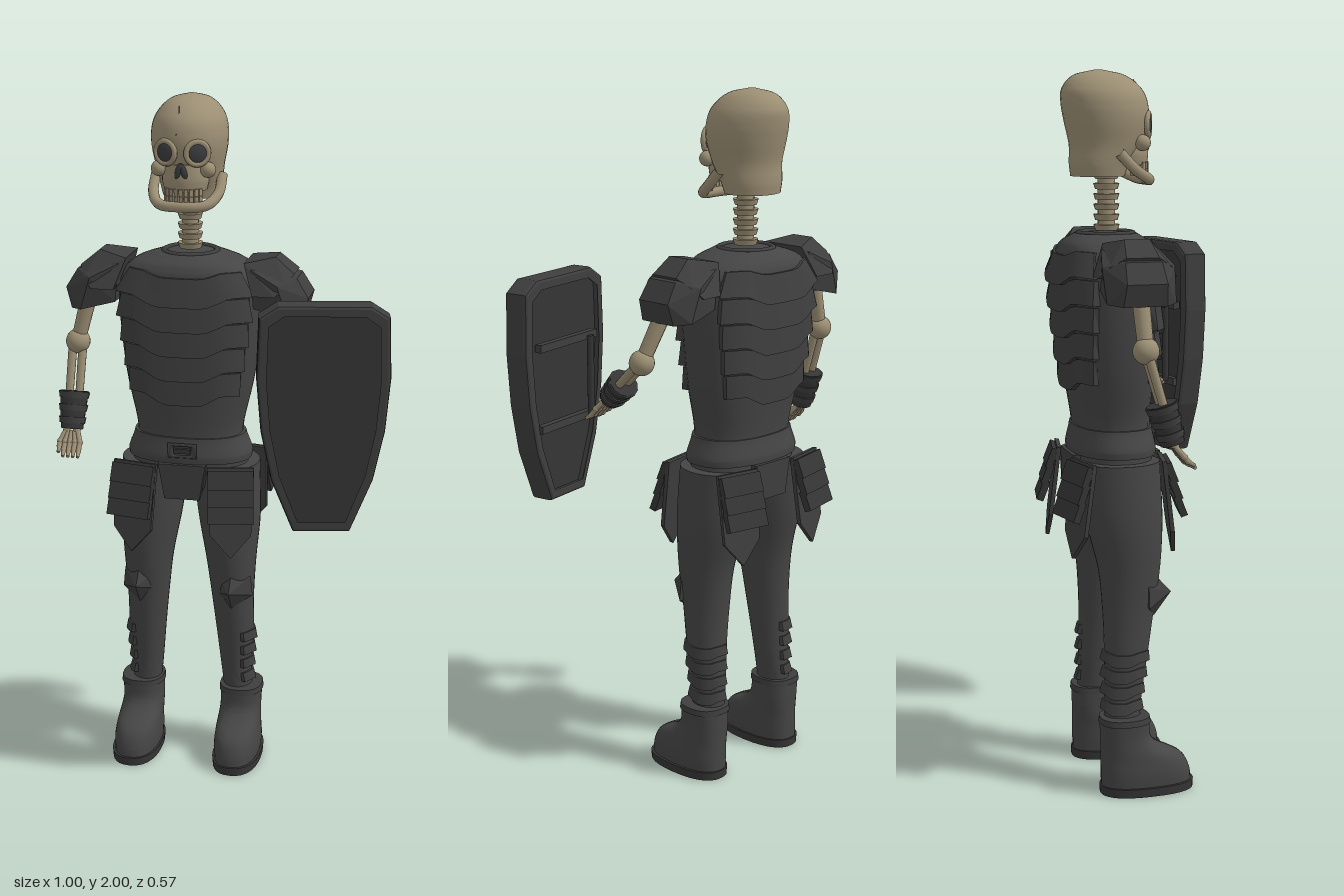
import * as THREE from 'three';
import { toCreasedNormals } from 'three/addons/utils/BufferGeometryUtils.js';
import { ConvexGeometry } from 'three/addons/geometries/ConvexGeometry.js';

const mat = (name, color, side = THREE.FrontSide) => {
  const m = new THREE.MeshStandardMaterial({ color, side });
  m.name = name;
  return m;
};
const CX = -0.118; // middle of the body
const V = (x, y, z) => new THREE.Vector3(x, y, z);

export function createModel() {
  const bone = mat('bone', 0x9c8f74);
  const hollow = mat('hollow', 0x3c3d40);
  const cloth = mat('cloth', 0x454545);
  const plate = mat('plate', 0x3e3e3f, THREE.DoubleSide);
  const dark = mat('darkPlate', 0x353536);
  const model = new THREE.Group();

  const add = (parent, name, geo, material, x = 0, y = 0, z = 0) => {
    const m = new THREE.Mesh(geo, material);
    m.name = name;
    m.position.set(x, y, z);
    parent.add(m);
    return m;
  };
  const group = (name, parent = model) => {
    const g = new THREE.Group();
    g.name = name;
    parent.add(g);
    return g;
  };
  const build = (pos, idx, crease) => {
    const g = new THREE.BufferGeometry();
    g.setAttribute('position', new THREE.Float32BufferAttribute(pos, 3));
    g.setIndex(idx);
    return toCreasedNormals(g, crease);
  };
  // point on a rounded section [y, cx, cz, rx, rz], angle 0 faces the front
  const around = ([y, cx, cz, rx, rz], t, e, off = 0) => {
    const p = (v) => Math.sign(v) * Math.abs(v) ** (2 / e);
    return [cx + (rx + off) * p(Math.sin(t)), y, cz + (rz + off) * p(Math.cos(t))];
  };
  // smooth body through sections listed from bottom to top
  const loft = (rings, e = 2, sub = 5, n = 32) => {
    const a = new THREE.CatmullRomCurve3(rings.map(r => V(r[0], r[1], r[2])), false, 'catmullrom');
    const b = new THREE.CatmullRomCurve3(rings.map(r => V(r[3], r[4], 0)), false, 'catmullrom');
    const pos = [], idx = [], m = (rings.length - 1) * sub;
    for (let i = 0; i <= m; i++) {
      const p = a.getPoint(i / m), q = b.getPoint(i / m);
      for (let j = 0; j < n; j++) pos.push(...around([p.x, p.y, p.z, q.x, q.y], j / n * Math.PI * 2, e));
    }
    for (let j = 0; j < n; j++) {
      const k = (j + 1) % n;
      for (let i = 0; i < m; i++) {
        const o = i * n;
        idx.push(o + j, o + k, o + n + j, o + k, o + n + k, o + n + j);
      }
      idx.push((m + 1) * n, k, j, (m + 1) * n + 1, m * n + j, m * n + k);
    }
    const lo = rings[0], hi = rings[rings.length - 1];
    pos.push(lo[1], lo[0], lo[2], hi[1], hi[0], hi[2]);
    return build(pos, idx, 0.9);
  };
  const sectionAt = (rings, y) => {
    let i = 0;
    while (i < rings.length - 2 && rings[i + 1][0] < y) i++;
    const t = (y - rings[i][0]) / (rings[i + 1][0] - rings[i][0]);
    return rings[i].map((v, k) => v + (rings[i + 1][k] - v) * t);
  };
  // overlapping armour strip wrapped on a body, raised at its ends
  const strip = (rings, e, mid, half, top, bottom, rise, lip) => {
    const pos = [], idx = [], n = 24;
    for (let j = 0; j <= n; j++) {
      const u = j / n * 2 - 1, k = j % n ? 1 : 0, a = Math.abs(u);
      const up = rise * THREE.MathUtils.clamp((a - 0.22) / 0.3, 0, 1) - rise * 0.4 * Math.max(0, a - 0.7);
      for (const [y, off] of [[bottom + up, 0], [bottom + up, lip], [top + up * 0.5, lip * 0.4], [top + up * 0.5, -0.004]])
        pos.push(...around(sectionAt(rings, y), mid + u * half, e, off * k));
    }
    for (let j = 0; j < n; j++) for (let i = 0; i < 3; i++) {
      const o = j * 4 + i;
      idx.push(o, o + 4, o + 1, o + 4, o + 5, o + 1);
    }
    return build(pos, idx, 0.5);
  };
  const rod = (parent, name, a, b, r0, r1 = r0, material = bone) => {
    const d = b.clone().sub(a);
    const m = add(parent, name, new THREE.CylinderGeometry(r1, r0, d.length(), 12), material);
    m.position.copy(a).addScaledVector(d, 0.5);
    m.quaternion.setFromUnitVectors(V(0, 1, 0), d.normalize());
    return m;
  };
  const ball = (parent, name, p, r, material = bone) =>
    add(parent, name, new THREE.SphereGeometry(r, 18, 12), material, p.x, p.y, p.z);

  // Skull
  const head = group('head');
  head.position.x = CX;
  add(head, 'cranium', loft([[1.715, 0, -0.13, 0.083, 0.074], [1.75, 0, -0.125, 0.09, 0.083], [1.8, 0, -0.108, 0.096, 0.1],
    [1.86, 0, -0.105, 0.107, 0.116], [1.91, 0, -0.11, 0.107, 0.12], [1.95, 0, -0.118, 0.093, 0.11],
    [1.985, 0, -0.125, 0.058, 0.072], [2, 0, -0.127, 0.006, 0.01]]), bone);
  add(head, 'upperJaw', loft([[1.745, 0, -0.05, 0.06, 0.058], [1.775, 0, -0.05, 0.066, 0.062], [1.82, 0, -0.05, 0.06, 0.06]]), bone);
  for (const s of [-1, 1]) {
    const eye = add(head, 'eyeSocket', new THREE.SphereGeometry(0.029, 20, 12), hollow, s * 0.045, 1.852, 0.001);
    eye.scale.z = 0.3;
    const rim = add(head, 'eyeRim', new THREE.TorusGeometry(0.031, 0.008, 8, 24), bone, s * 0.045, 1.853, 0.001);
    eye.rotation.y = rim.rotation.y = s * 0.4;
    ball(head, 'cheekbone', V(s * 0.07, 1.805, -0.022), 0.022);
    const nose = add(head, 'noseHole', new THREE.SphereGeometry(0.012, 12, 8), hollow, s * 0.007, 1.803, 0.009);
    nose.scale.set(0.8, 1.9, 0.5);
    nose.rotation.z = s * 0.3;
  }
  const jaw = new THREE.CatmullRomCurve3([V(-0.095, 1.78, -0.095), V(-0.093, 1.735, -0.05), V(-0.066, 1.708, -0.005), V(0, 1.704, 0.008),
    V(0.066, 1.708, -0.005), V(0.093, 1.735, -0.05), V(0.095, 1.78, -0.095)]);
  add(head, 'lowerJaw', new THREE.TubeGeometry(jaw, 40, 0.015, 10), bone);
  for (let i = -4; i <= 4; i++) {
    const a = i * 0.24, x = 0.058 * Math.sin(a), z = -0.046 + 0.054 * Math.cos(a);
    for (const y of [1.743, 1.722]) add(head, 'tooth', new THREE.BoxGeometry(0.011, 0.02, 0.01), bone, x, y, z).rotation.y = a;
  }
  const crack = new THREE.CatmullRomCurve3([V(-0.012, 1.9, 0.01), V(-0.017, 1.93, -0.003), V(-0.01, 1.95, -0.012), V(-0.014, 1.974, -0.034)]);
  add(head, 'skullCrack', new THREE.TubeGeometry(crack, 12, 0.002, 5), hollow);

  // Neck bones
  for (let i = 0; i < 6; i++) {
    const y = 1.575 + i * 0.028;
    add(model, 'vertebra', new THREE.CylinderGeometry(0.036, 0.031, 0.016, 20), bone, CX, y, -0.105);
    add(model, 'neckDisc', new THREE.CylinderGeometry(0.024, 0.024, 0.03, 16), bone, CX, y + 0.014, -0.105);
  }

  // Torso and its layered armour
  const body = [[1.0, CX, -0.095, 0.155, 0.1], [1.06, CX, -0.098, 0.158, 0.103], [1.2, CX, -0.104, 0.188, 0.118], [1.38, CX, -0.108, 0.207, 0.13],
    [1.48, CX, -0.108, 0.203, 0.132], [1.53, CX, -0.108, 0.165, 0.122], [1.56, CX, -0.108, 0.085, 0.085]];
  add(model, 'torso', loft(body, 2.4), cloth);
  add(model, 'collar', new THREE.TorusGeometry(0.075, 0.01, 8, 32), plate, CX, 1.557, -0.108).rotation.x = Math.PI / 2;
  for (const mid of [0, Math.PI]) for (let i = 0; i < 5; i++)
    add(model, mid ? 'backLame' : 'chestLame',
      strip(body, 2.4, mid, 1.12 - i * 0.03, 1.505 - i * 0.073, 1.425 - i * 0.073, 0.03, 0.026 - i * 0.002), plate);

  // Hips, belt and flaps
  add(model, 'pelvis', loft([[0.83, CX, -0.1, 0.09, 0.07], [0.88, CX, -0.1, 0.165, 0.105], [0.98, CX, -0.096, 0.17, 0.108]], 2.3), cloth);
  add(model, 'belt', loft([[0.955, CX, -0.096, 0.182, 0.116], [0.975, CX, -0.096, 0.183, 0.117], [1.015, CX, -0.096, 0.168, 0.109], [1.03, CX, -0.096, 0.164, 0.107]], 2.3), cloth);
  add(model, 'buckle', new THREE.TorusGeometry(0.025, 0.007, 4, 4, Math.PI * 2).rotateZ(Math.PI / 4).scale(1.9, 1.0, 1), plate, CX, 0.995, 0.019);
  add(model, 'buckleTongue', new THREE.BoxGeometry(0.05, 0.014, 0.014), dark, CX, 0.995, 0.018);
  const flap = new THREE.Shape([[-0.07, 0.955], [-0.052, 0.85], [0.052, 0.85], [0.07, 0.955]].map(p => new THREE.Vector2(...p)));
  for (const z of [0.008, -0.222])
    add(model, 'centreFlap', new THREE.ExtrudeGeometry(flap, { depth: 0.022, bevelEnabled: false }), plate, CX, 0, z);

  // Hanging hip plates, front and back
  const panel = new THREE.Shape([[-0.068, 0], [0.068, 0], [0.06, -0.2], [0, -0.27], [-0.06, -0.2]].map(p => new THREE.Vector2(...p)));
  for (const s of [-1, 1]) for (const f of [1, -1]) {
    const g = group('hipArmour');
    g.position.set(CX + s * 0.14, 0.95, f > 0 ? 0.006 : -0.205);
    g.rotation.set(-0.12, (f > 0 ? 0 : Math.PI) + s * f * 0.2, 0, 'YXZ');
    add(g, 'hipPanel', new THREE.ExtrudeGeometry(panel, { depth: 0.012, bevelEnabled: false }), plate);
    for (let i = 0; i < 3; i++) {
      const l = add(g, 'hipLame', new THREE.BoxGeometry(0.132, 0.058, 0.02), dark, 0, -0.035 - i * 0.048, 0.022 + i * 0.007);
      l.rotation.x = -0.25;
    }
  }

  // Legs, knee guards, calf strips and boots
  for (const s of [-1, 1]) {
    const X = (o) => CX + s * o;
    const leg = [[0.18, X(0.145), -0.105, 0.042, 0.05], [0.28, X(0.138), -0.1, 0.046, 0.054], [0.4, X(0.136), -0.09, 0.056, 0.062], [0.52, X(0.13), -0.082, 0.063, 0.073],
      [0.64, X(0.126), -0.078, 0.074, 0.088], [0.78, X(0.118), -0.09, 0.092, 0.108], [0.94, X(0.105), -0.1, 0.1, 0.113]];
    add(model, 'leg', loft(leg), cloth);
    for (let i = 0; i < 4; i++)
      add(model, 'calfStrip', strip(leg, 2, s * 2, 1.5, 0.405 - i * 0.047, 0.372 - i * 0.047, 0.012, 0.012), plate);
    const knee = [[0, 0.5, -0.01], [-0.058, 0.535, -0.04], [0.058, 0.535, -0.04], [-0.052, 0.595, -0.04], [0.052, 0.595, -0.04], [0, 0.62, -0.01], [0, 0.565, 0.04]];
    add(model, 'kneeGuard', new ConvexGeometry(knee.map(p => V(X(0.14) + p[0], p[1], p[2]))), plate);
    add(model, 'boot', loft([[0.02, X(0.155), -0.037, 0.066, 0.13], [0.06, X(0.155), -0.04, 0.068, 0.127], [0.1, X(0.154), -0.052, 0.065, 0.115],
      [0.135, X(0.153), -0.085, 0.062, 0.082], [0.165, X(0.153), -0.098, 0.061, 0.07], [0.215, X(0.154), -0.1, 0.063, 0.069]], 2.4), cloth);
    add(model, 'sole', loft([[0, X(0.156), -0.036, 0.071, 0.134], [0.025, X(0.156), -0.036, 0.073, 0.135]], 2.4, 1), dark);
    add(model, 'bootCuff', loft([[0.205, X(0.154), -0.1, 0.066, 0.072], [0.222, X(0.154), -0.1, 0.064, 0.07]], 2.4, 1), plate);

    // Shoulder guards in two faceted layers
    const shell = (name, pts, m) => add(model, name, new ConvexGeometry(
      pts.flatMap(([x, y, z]) => [V(X(x), y, -0.095 + z), V(X(x), y, -0.095 - z)])), m);
    shell('shoulderGuard', [[0.335, 1.39, 0.06], [0.352, 1.45, 0.055], [0.318, 1.505, 0.05], [0.19, 1.53, 0.08], [0.2, 1.42, 0.085], [0.27, 1.49, 0.1], [0.3, 1.395, 0.095]], plate);
    shell('shoulderCap', [[0.31, 1.515, 0.045], [0.255, 1.56, 0.035], [0.17, 1.545, 0.07], [0.2, 1.46, 0.105], [0.265, 1.46, 0.108], [0.29, 1.49, 0.085]], plate);
  }

  // Bone arms with cuffs and hands
  const arm = (name, shoulder, elbow, wrist, dir, curl) => {
    const g = group(name);
    rod(g, 'upperArm', shoulder, elbow, 0.024, 0.021);
    ball(g, 'elbow', elbow, 0.036);
    ball(g, 'armJoint', shoulder, 0.04);
    for (const o of [-0.015, 0.015]) rod(g, 'forearm', elbow.clone().add(V(o, 0, 0)), wrist.clone().add(V(o, 0, 0)), 0.013, 0.011);
    const along = (t) => elbow.clone().lerp(wrist, t);
    rod(g, 'cuff', along(0.55), along(0.97), 0.042, 0.033, dark);
    for (const t of [0.56, 0.7, 0.84]) rod(g, 'cuffBand', along(t), along(t + 0.07), 0.046 - (t - 0.56) * 0.02, 0.043 - (t - 0.56) * 0.02, plate);
    const step = (p, d, l) => p.clone().addScaledVector(d, l);
    for (let i = 0; i < 5; i++) {
      const side = V((i - 2) * 0.015, 0, 0), base = step(wrist, dir, 0.035).add(side);
      rod(g, 'palmBone', wrist.clone().addScaledVector(side, 0.6), base, 0.008);
      const mid = step(base, dir, i === 0 ? 0.015 : 0.028);
      ball(g, 'knuckle', base, 0.009);
      rod(g, 'finger', base, mid, 0.0075);
      ball(g, 'knuckle', mid, 0.008);
      rod(g, 'fingerTip', mid, step(mid, curl, 0.025), 0.007, 0.005);
    }
  };
  arm('rightArm', V(-0.415, 1.43, -0.1), V(-0.455, 1.275, -0.095), V(-0.46, 1.02, -0.02), V(0, -0.75, 0.6), V(0.1, -0.5, 0.8));
  arm('leftArm', V(0.18, 1.43, -0.09), V(0.235, 1.275, -0.05), V(0.215, 1.14, 0.105), V(0.03, -0.75, 0.65), V(0, -0.5, 0.8));

  // Shield: rim, inset face, ridge and straps
  const shield = group('shield');
  shield.position.set(0.317, 1.185, 0.207);
  shield.rotation.y = 0.2;
  const half = [[0.125, 0.315], [0.172, 0.285], [0.178, 0.12], [0.165, -0.03], [0.135, -0.17], [0.075, -0.315]];
  const outline = (kx, ky) => [...half, ...half.map(([x, y]) => [-x, y]).reverse()].map(([x, y]) => new THREE.Vector2(x * kx, y * ky));
  const rim = new THREE.Shape(outline(0.97, 0.985));
  rim.holes.push(new THREE.Path(outline(0.86, 0.92)));
  const bevel = { bevelEnabled: true, bevelThickness: 0.012, bevelSize: 0.008, bevelSegments: 2 };
  add(shield, 'shieldRim', new THREE.ExtrudeGeometry(rim, { depth: 0.05, ...bevel }), plate, 0, 0, -0.022);
  add(shield, 'shieldFace', new THREE.ExtrudeGeometry(new THREE.Shape(outline(0.9, 0.94)), { depth: 0.04, bevelEnabled: false }), dark, 0, 0, -0.015);
  for (const y of [0.13, -0.1]) {
    add(shield, 'shieldStrap', new THREE.BoxGeometry(0.26, 0.022, 0.02), plate, 0, y, -0.035);
  }
  rod(shield, 'shieldGrip', V(-0.09, 0.13, -0.05), V(-0.09, -0.1, -0.05), 0.01, 0.01, dark);

  return model;
}
